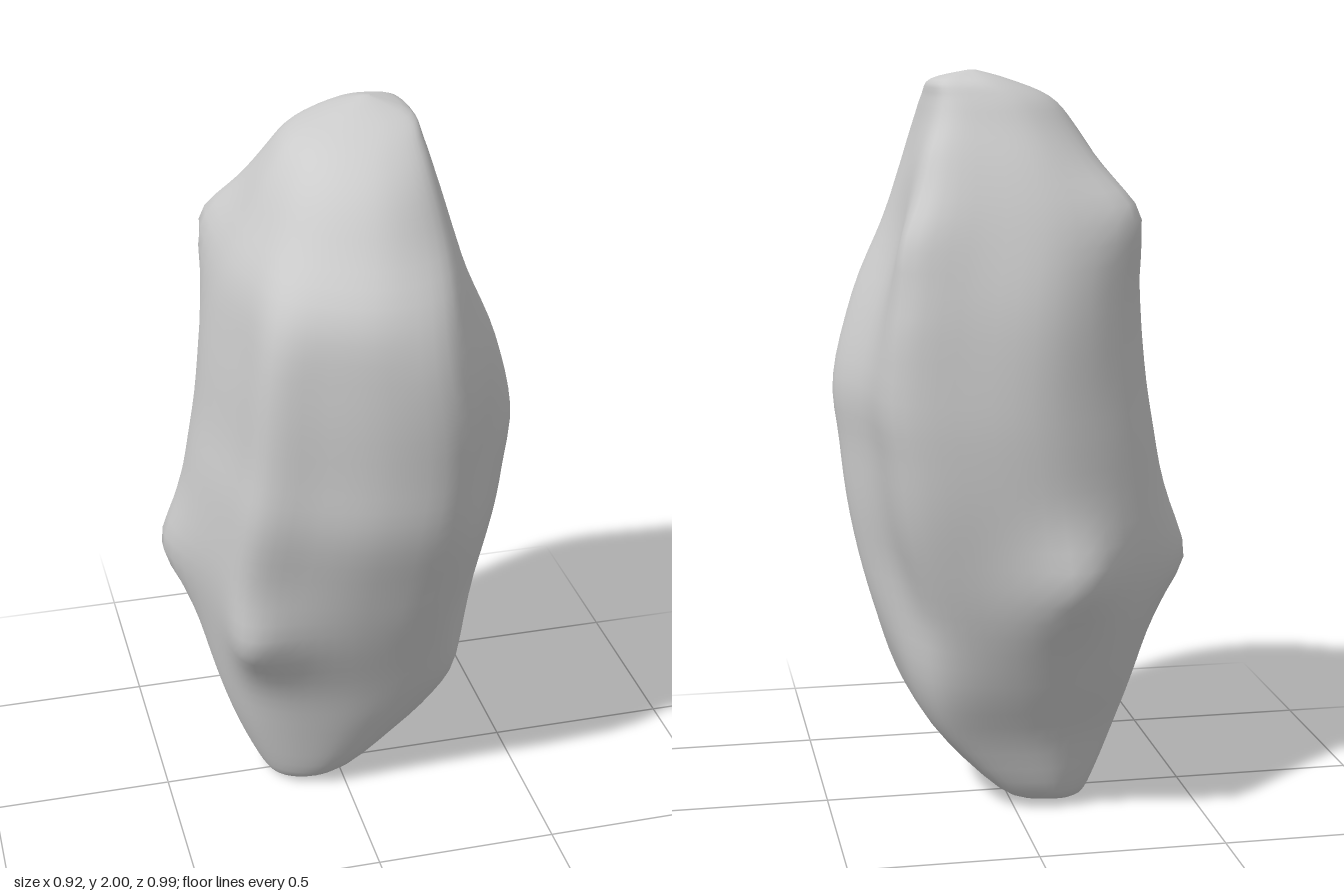
import * as THREE from 'three';

// Height, then the section's extent: x min, x max, z min, z max
const LEVELS = [
  [0.00, -0.14, -0.12, -0.04, -0.03],
  [0.005, -0.195, -0.06, -0.11, 0.06],
  [0.05, -0.23, 0.05, -0.175, 0.13],
  [0.22, -0.30, 0.21, -0.23, 0.19],
  [0.40, -0.35, 0.30, -0.32, 0.245],
  [0.60, -0.38, 0.375, -0.40, 0.33],
  [0.80, -0.405, 0.42, -0.43, 0.405],
  [1.00, -0.395, 0.445, -0.45, 0.475],
  [1.18, -0.37, 0.46, -0.45, 0.495],
  [1.40, -0.345, 0.40, -0.425, 0.50],
  [1.60, -0.305, 0.31, -0.36, 0.475],
  [1.75, -0.235, 0.26, -0.30, 0.37],
  [1.86, -0.175, 0.23, -0.245, 0.28],
  [1.93, -0.11, 0.215, -0.21, 0.18],
  [1.975, 0.00, 0.20, -0.17, 0.06],
  [2.00, 0.09, 0.11, -0.09, -0.07],
];

// Cross-sections scaled to -1..1, running from +x towards +z
const outline = (points) => new THREE.CatmullRomCurve3(points.map(([x, z]) => new THREE.Vector3(x, 0, z)), true);
const MIDDLE = outline([
  [1, 0.18], [0.87, 0.5], [0.5, 0.96], [0, 0.98], [-0.45, 0.84], [-0.78, 0.7],
  [-0.88, 0.35], [-1, -0.15], [-0.82, -0.68], [-0.25, -1], [0.3, -0.97], [0.72, -0.8], [0.84, -0.25],
]);
const ENDS = outline([
  [1, 0.1], [0.96, 0.5], [0.76, 0.8], [0.15, 0.98], [-0.42, 0.86], [-0.76, 0.62],
  [-0.93, 0.3], [-1, -0.1], [-0.82, -0.68], [-0.3, -1], [0.3, -0.98], [0.8, -0.82], [0.97, -0.4],
]);

// Knobs and dents: centre, push and radius
const KNOBS = [
  { at: [-0.41, 0.70, -0.16], push: [-0.08, 0, -0.02], r: 0.15 },
  { at: [-0.13, 0.71, -0.44], push: [-0.01, 0, -0.085], r: 0.13 },
  { at: [0.27, 1.59, -0.30], push: [0.075, 0.01, -0.07], r: 0.16 },
  { at: [0.30, 1.36, -0.34], push: [0.02, 0, -0.02], r: 0.15 },
  { at: [0.21, 1.80, -0.22], push: [0.02, 0, -0.02], r: 0.12 },
  { at: [-0.26, 1.63, -0.27], push: [-0.07, 0.03, -0.06], r: 0.15 },
  { at: [-0.28, 0.60, 0.24], push: [-0.035, 0, 0.075], r: 0.15 },
  { at: [0.22, 0.40, 0.20], push: [0.04, 0, 0.04], r: 0.18 },
  { at: [0.34, 1.15, 0.38], push: [-0.035, 0, -0.035], r: 0.2 },
  { at: [0.28, 0.57, -0.28], push: [-0.04, 0, 0.04], r: 0.2 },
];

// Smooth interpolation of one column of LEVELS
function sample(column, t) {
  const last = LEVELS.length - 1;
  const i = Math.min(Math.floor(t * last), last - 1);
  const f = t * last - i;
  const v = (k) => LEVELS[Math.min(Math.max(k, 0), last)][column];
  const m0 = (v(i + 1) - v(i - 1)) / 2, m1 = (v(i + 2) - v(i)) / 2;
  const f2 = f * f, f3 = f2 * f;
  return (2 * f3 - 3 * f2 + 1) * v(i) + (f3 - 2 * f2 + f) * m0
    + (3 * f2 - 2 * f3) * v(i + 1) + (f3 - f2) * m1;
}

function rockGeometry(rows = 60, cols = 60) {
  const pos = [], index = [];
  const add = (p) => {
    const start = p.clone();
    for (const { at, push, r } of KNOBS) {
      const d = start.distanceTo(new THREE.Vector3(...at)) / r;
      p.addScaledVector(new THREE.Vector3(...push), Math.exp(-(d ** 1.6)));
    }
    pos.push(p.x, THREE.MathUtils.clamp(p.y, 0, 2), p.z);
  };
  for (let i = 0; i <= rows; i++) {
    const [y, x0, x1, z0, z1] = [0, 1, 2, 3, 4].map((c) => sample(c, i / rows));
    // The section is fuller towards both ends
    const blend = THREE.MathUtils.smoothstep(Math.abs(y - 1.08), 0.35, 0.75);
    for (let j = 0; j < cols; j++) {
      const o = MIDDLE.getPoint(j / cols).lerp(ENDS.getPoint(j / cols), blend);
      add(new THREE.Vector3((x0 + x1 + o.x * (x1 - x0)) / 2, y, (z0 + z1 + o.z * (z1 - z0)) / 2));
    }
  }
  for (let i = 0; i < rows; i++) {
    for (let j = 0; j < cols; j++) {
      const a = i * cols + j, b = i * cols + (j + 1) % cols;
      index.push(a, a + cols, b, b, a + cols, b + cols);
    }
  }
  // Close the two tiny end rings
  for (let j = 1; j < cols - 1; j++) {
    const top = rows * cols;
    index.push(0, j, j + 1, top, top + j + 1, top + j);
  }
  const geometry = new THREE.BufferGeometry();
  geometry.setAttribute('position', new THREE.Float32BufferAttribute(pos, 3));
  geometry.setIndex(index);
  geometry.computeVertexNormals();
  return geometry;
}

export function createModel() {
  const group = new THREE.Group();
  group.name = 'standingRock';
  const rock = new THREE.Mesh(rockGeometry(), new THREE.MeshStandardMaterial({ color: 0xcccccc }));
  rock.name = 'rock';
  group.add(rock);
  return group;
}
